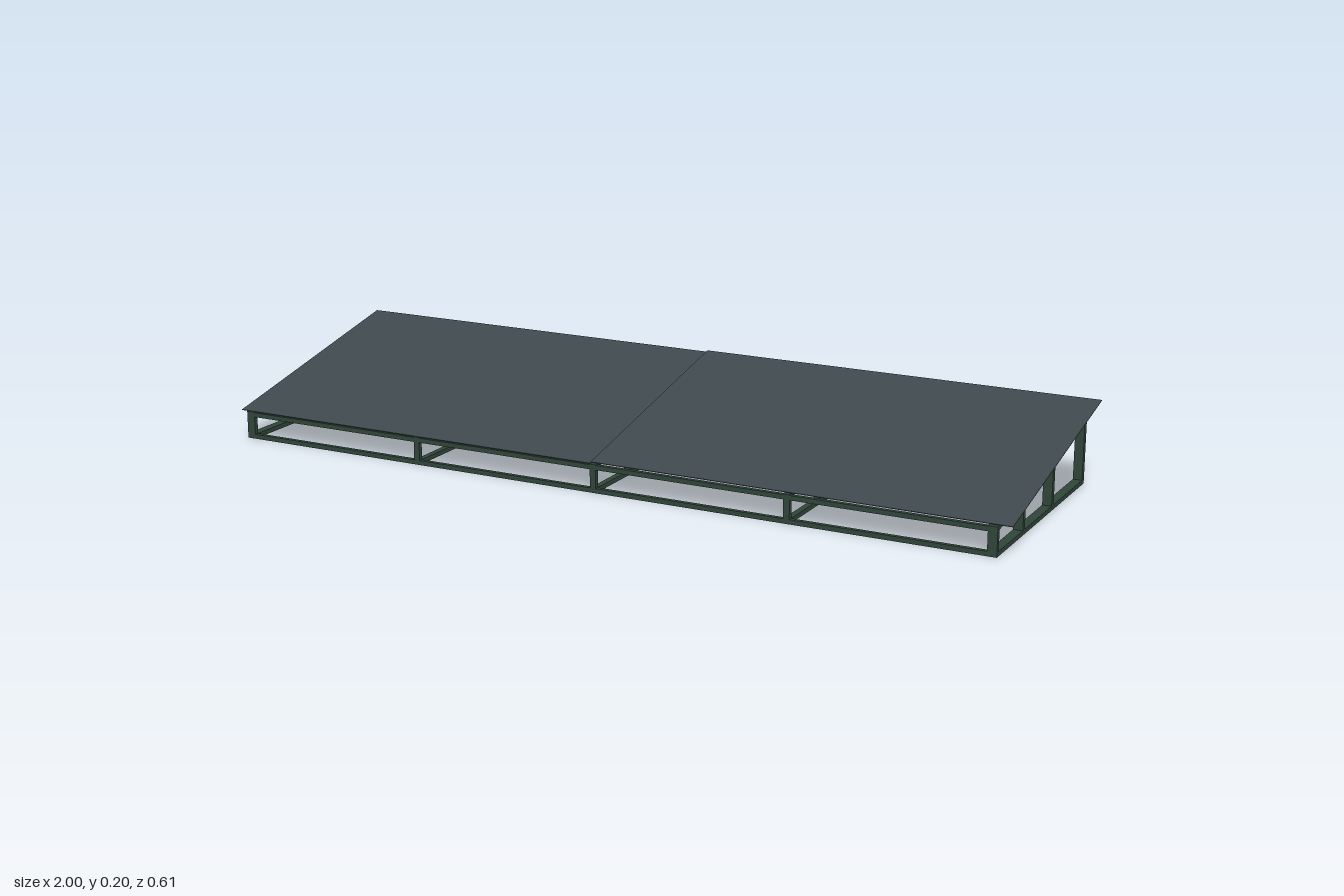
import * as THREE from 'three';

const FRONT = 0.297, BACK = -0.298, BAR = 0.012;
const SLOPE = 0.131 / (FRONT - BACK);
const slopeY = (z) => 0.068 + (FRONT - z) * SLOPE;

export function createModel() {
  const model = new THREE.Group();
  model.name = 'shelter';

  const green = new THREE.MeshStandardMaterial({ color: 0x30453a });
  green.name = 'green frame';
  const slate = new THREE.MeshStandardMaterial({ color: 0x3f484d });
  slate.name = 'slate roof';

  const add = (parent, name, geometry, material, x = 0, y = 0, z = 0) => {
    const mesh = new THREE.Mesh(geometry, material);
    mesh.name = name;
    mesh.position.set(x, y, z);
    parent.add(mesh);
    return mesh;
  };

  // Side frame profile: sloped outline with three openings between the posts
  const outline = (z0, z1, bottom, drop, Type) => {
    const points = [[z0, bottom], [z1, bottom], [z1, slopeY(z1) - drop], [z0, slopeY(z0) - drop]];
    return new Type(points.map(([z, y]) => new THREE.Vector2(z, y)));
  };
  const frameShape = outline(BACK, FRONT, 0, 0, THREE.Shape);
  const openings = [[BACK + 0.014, -0.077], [-0.063, 0.119], [0.132, FRONT - 0.011]];
  for (const [z0, z1] of openings) {
    frameShape.holes.push(outline(z0, z1, 0.011, BAR, THREE.Path));
  }

  // Five parallel frames, the end ones slightly heavier
  const frames = [[-0.973, 0.022], [-0.485, 0.015], [-0.005, 0.015], [0.481, 0.015], [0.956, 0.022]];
  for (const [x, width] of frames) {
    const geometry = new THREE.ExtrudeGeometry(frameShape, { depth: width, bevelEnabled: false });
    geometry.translate(0, 0, -width / 2).rotateY(-Math.PI / 2);
    add(model, 'sideFrame', geometry, green, x);
  }

  // Front rails joining the frames
  const rail = new THREE.BoxGeometry(1.95, 0.011, 0.011);
  add(model, 'lowerFrontRail', rail, green, -0.009, 0.0055, FRONT - 0.0055);
  add(model, 'upperFrontRail', rail, green, -0.009, 0.061, FRONT - 0.0055);

  // Two sloped roof sheets, the one on +x sitting a little higher
  const depth = FRONT - BACK;
  const roof = (name, x0, x1, lift) => {
    const geometry = new THREE.BoxGeometry(x1 - x0, 0.0015, Math.hypot(depth, depth * SLOPE));
    const midZ = (FRONT + BACK) / 2;
    const sheet = add(model, name, geometry, slate, (x0 + x1) / 2, slopeY(midZ) + lift, midZ);
    sheet.rotation.x = Math.atan(SLOPE);
  };
  roof('rightRoofSheet', -1, -0.01, 0.0015);
  roof('leftRoofSheet', -0.01, 1, 0.005);

  // The whole shelter stands slightly turned
  model.rotation.y = 0.008;
  const root = new THREE.Group();
  root.name = 'slopedShelter';
  root.add(model);
  return root;
}
